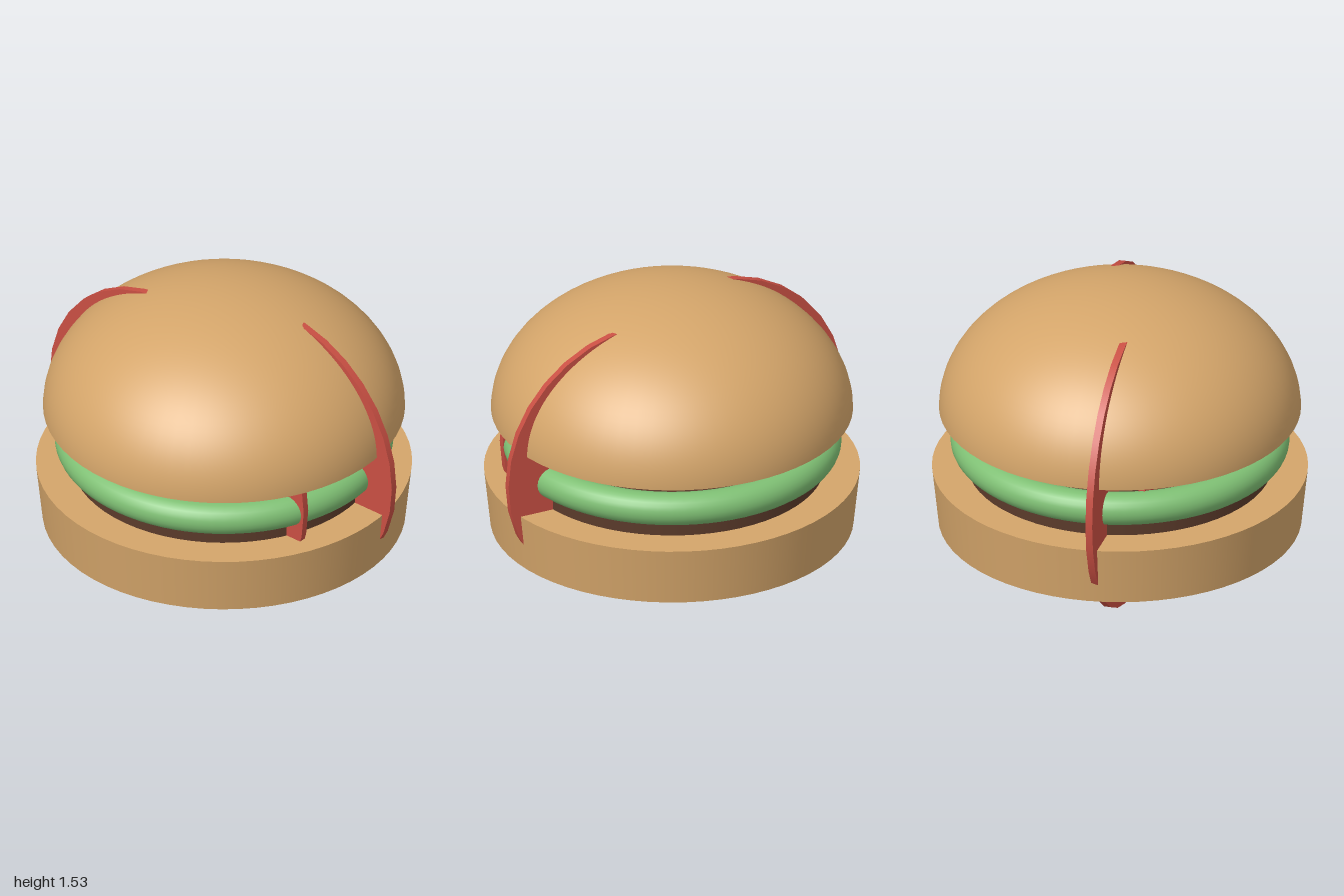
import * as THREE from 'three';

const BUN = 0xd4a56a, TOMATO = 0xc94f43;

export function createModel() {
  const model = new THREE.Group();

  const add = (name, geometry, color, x, y, z, side = THREE.FrontSide) => {
    const mesh = new THREE.Mesh(geometry, new THREE.MeshStandardMaterial({ color, side }));
    mesh.name = name;
    mesh.position.set(x, y, z);
    model.add(mesh);
    return mesh;
  };

  // Lower bun: a slightly flared solid disc
  add('bottomBun', new THREE.CylinderGeometry(0.935, 0.903, 0.3, 64), BUN, 0.01, 0.41, 0);

  // Patty, partly sunk into the lower bun
  add('patty', new THREE.CylinderGeometry(0.758, 0.758, 0.2, 64), 0x5a3a2a, 0.01, 0.6, 0);

  // Lettuce ring around the patty
  const lettuce = new THREE.TorusGeometry(0.76, 0.083, 24, 80).rotateX(Math.PI / 2);
  add('lettuce', lettuce, 0x7fc074, 0.01, 0.712, 0);

  // Cheese slice, tilted a little so its back edge rises
  const cheese = add('cheese', new THREE.BoxGeometry(0.8, 0.03, 0.8), 0xe0b040, 0.01, 0.777, 0);
  cheese.rotation.x = 0.045;

  // Upright tomato slices cutting through the stack
  const slice = new THREE.CylinderGeometry(0.735, 0.735, 0.035, 32).rotateX(Math.PI / 2);
  [[0.07, 0.307], [-0.263, 0.132], [0.263, -0.142]].forEach(([x, z], i) =>
    add(`tomatoSlice${i + 1}`, slice, TOMATO, x, 0.735, z));

  // Upper bun: an open, flattened half sphere
  const dome = new THREE.SphereGeometry(0.9, 64, 32, 0, Math.PI * 2, 0, Math.PI / 2);
  dome.scale(1, 0.645 / 0.9, 1);
  add('topBun', dome, BUN, 0.01, 0.885, 0, THREE.DoubleSide);

  // Sesame seed under the upper bun
  const seed = new THREE.SphereGeometry(0.035, 16, 12).scale(1, 0.6, 0.8);
  add('sesameSeed', seed, 0xf3e8cc, 0.18, 1.02, -0.37);

  return model;
}
